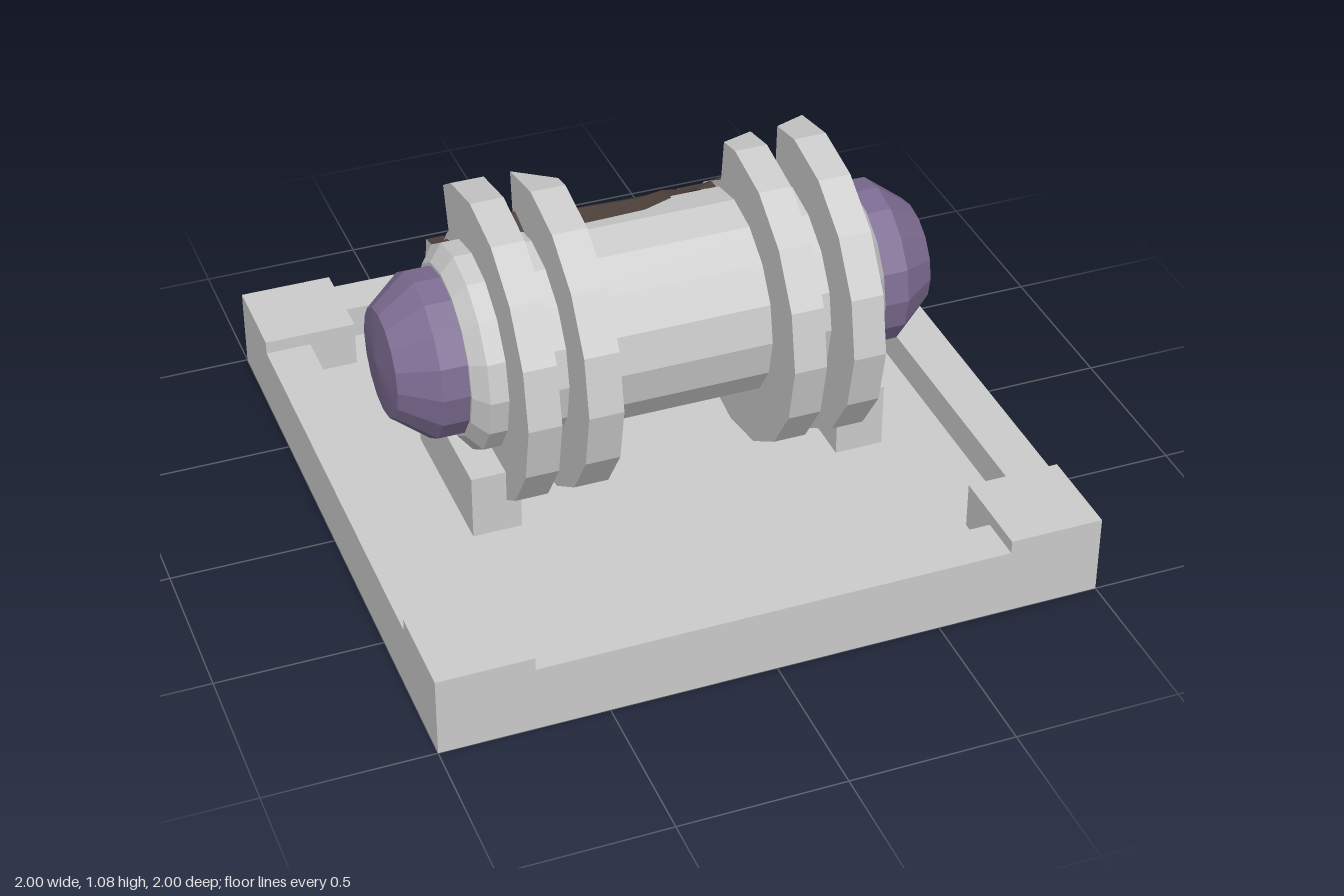
import * as THREE from 'three';

const grey = new THREE.MeshStandardMaterial({ color: 0xcccccc, flatShading: true });
const purple = new THREE.MeshStandardMaterial({ color: 0x7d6c92, flatShading: true });
const dark = new THREE.MeshStandardMaterial({ color: 0x4f423c, flatShading: true, side: THREE.DoubleSide });
const AXIS = 0.6, SIDES = 16, STEP = 360 / SIDES;

function add(parent, name, geometry, material) {
  const mesh = new THREE.Mesh(geometry, material);
  mesh.name = name;
  parent.add(mesh);
  return mesh;
}

function box(parent, name, x0, x1, y0, y1, z0, z1) {
  const mesh = add(parent, name, new THREE.BoxGeometry(x1 - x0, y1 - y0, z1 - z0), grey);
  mesh.position.set((x0 + x1) / 2, (y0 + y1) / 2, (z0 + z1) / 2);
}

function fromTriangles(points) {
  const g = new THREE.BufferGeometry().setFromPoints(points);
  g.computeVertexNormals();
  return g;
}

// Lathe profile [radius, distance] turned to lie along x
function lathe(parent, name, profile, material, dir = 1) {
  const g = new THREE.LatheGeometry(profile.map(p => new THREE.Vector2(...p)), SIDES);
  g.rotateZ(-dir * Math.PI / 2);
  add(parent, name, g, material).position.y = AXIS;
}

// Point around the axis; the angle runs from the top towards the back
const polar = (deg, r) => {
  const a = THREE.MathUtils.degToRad(deg);
  return new THREE.Vector2(r * Math.sin(a), r * Math.cos(a));
};
const to3D = (p, x) => new THREE.Vector3(x, AXIS + p.y, -p.x);

// Point on the straight edge of the 16-sided outline
function onRim(deg, r) {
  const half = THREE.MathUtils.degToRad(STEP / 2);
  const off = THREE.MathUtils.degToRad(THREE.MathUtils.euclideanModulo(deg, STEP)) - half;
  return polar(deg, r * Math.cos(half) / Math.cos(off));
}

// Flange disc with a broken-out notch between angle a and the rear rim
function brokenFlange(parent, x0, x1, a0, a1) {
  const R = 0.475, end = 80;
  const outline = a => {
    const pts = [onRim(end, R)];
    for (let d = 90; d <= 360; d += STEP) pts.push(onRim(d, R));
    pts.push(onRim(Math.min(STEP, a), R), onRim(a + 0.5, R));
    // floor of the notch
    pts.push(polar(a + 8, 0.335), polar(46, 0.335), polar(68, 0.34), polar(77, 0.42));
    return pts.reverse();
  };
  const L = outline(a0), Rt = outline(a1), n = L.length;
  const solid = [], cut = [];
  for (const [i, j, k] of THREE.ShapeUtils.triangulateShape(Rt, []))
    solid.push(to3D(Rt[i], x1), to3D(Rt[j], x1), to3D(Rt[k], x1));
  for (const [i, j, k] of THREE.ShapeUtils.triangulateShape(L, []))
    solid.push(to3D(L[i], x0), to3D(L[k], x0), to3D(L[j], x0));
  for (let i = 0; i < n; i++) {
    const j = (i + 1) % n;
    const a = to3D(L[i], x0), b = to3D(L[j], x0), c = to3D(Rt[j], x1), d = to3D(Rt[i], x1);
    // the notch occupies the first four edges and the closing edge
    (i < 4 || i === n - 1 ? cut : solid).push(a, b, c, a, c, d);
  }
  const flange = new THREE.Group();
  flange.name = 'flange';
  add(flange, 'flangeBody', fromTriangles(solid), grey);
  add(flange, 'flangeBreak', fromTriangles(cut), dark);
  parent.add(flange);
}

// Ragged patch of exposed material lying on the barrel: [x, first angle, last angle, peak radius]
function damagePatch(parent) {
  const columns = [
    [-0.55, 45, 72, 0.322], [-0.44, 24, 82, 0.335], [-0.35, 10, 88, 0.345], [-0.26, 7, 90, 0.33],
    [-0.12, 8, 93, 0.325], [0, 9, 95, 0.322], [0.1, 19, 92, 0.325], [0.21, 38, 90, 0.322],
    [0.3, 18, 86, 0.33], [0.42, 20, 82, 0.33], [0.53, 24, 76, 0.325], [0.6, 36, 62, 0.316],
  ];
  const rows = 6, tris = [];
  const at = (c, k) => {
    const [x, a, b, r] = columns[c];
    // raised ridge near the upper edge on the highest columns
    const radius = k === 0 || k === rows ? 0.309 : k === 1 ? r + (r - 0.322) * 0.6 : Math.min(r, 0.326);
    return to3D(polar(a + (b - a) * k / rows, radius), x);
  };
  for (let c = 0; c < columns.length - 1; c++)
    for (let k = 0; k < rows; k++) {
      const p = at(c, k), q = at(c + 1, k), s = at(c + 1, k + 1), t = at(c, k + 1);
      tris.push(p, q, s, p, s, t);
    }
  add(parent, 'damagePatch', fromTriangles(tris), dark);
}

export function createModel() {
  const model = new THREE.Group();
  model.name = 'mountedCanister';

  // Base tray with low rims and taller corner blocks
  const floor = 0.105, c = 0.715, rim = 0.86;
  box(model, 'baseFloor', -1, 1, 0, floor, -1, 1);
  for (const s of [-1, 1]) {
    const lo = s < 0 ? -1 : rim, hi = s < 0 ? -rim : 1;
    box(model, 'sideRim', lo, hi, floor, 0.21, -c, c);
    box(model, 'endRim', -c, c, floor, 0.21, lo, hi);
    for (const t of [-1, 1])
      box(model, 'cornerBlock', s < 0 ? -1 : c, s < 0 ? -c : 1, floor, 0.25, t < 0 ? -1 : c, t < 0 ? -c : 1);
    // Cradle under each end of the barrel
    box(model, 'cradle', s < 0 ? -0.65 : 0.5, s < 0 ? -0.5 : 0.65, floor, 0.31, -0.255, 0.255);
  }

  // Barrel and domed end caps
  lathe(model, 'barrel', [[0, -0.64], [0.26, -0.64], [0.31, -0.6], [0.31, 0.6], [0.26, 0.64], [0, 0.64]], grey);
  for (const s of [-1, 1])
    lathe(model, 'endCap', [[0.25, 0.63], [0.25, 0.72], [0.165, 0.83], [0, 0.845]], purple, s);

  // Flanges: left and right face positions with the break angle on each face
  brokenFlange(model, -0.545, -0.445, 33, 30);
  brokenFlange(model, -0.365, -0.26, 22, 7);
  brokenFlange(model, 0.26, 0.36, 10, 15);
  brokenFlange(model, 0.445, 0.545, 15, 21);
  damagePatch(model);
  return model;
}
